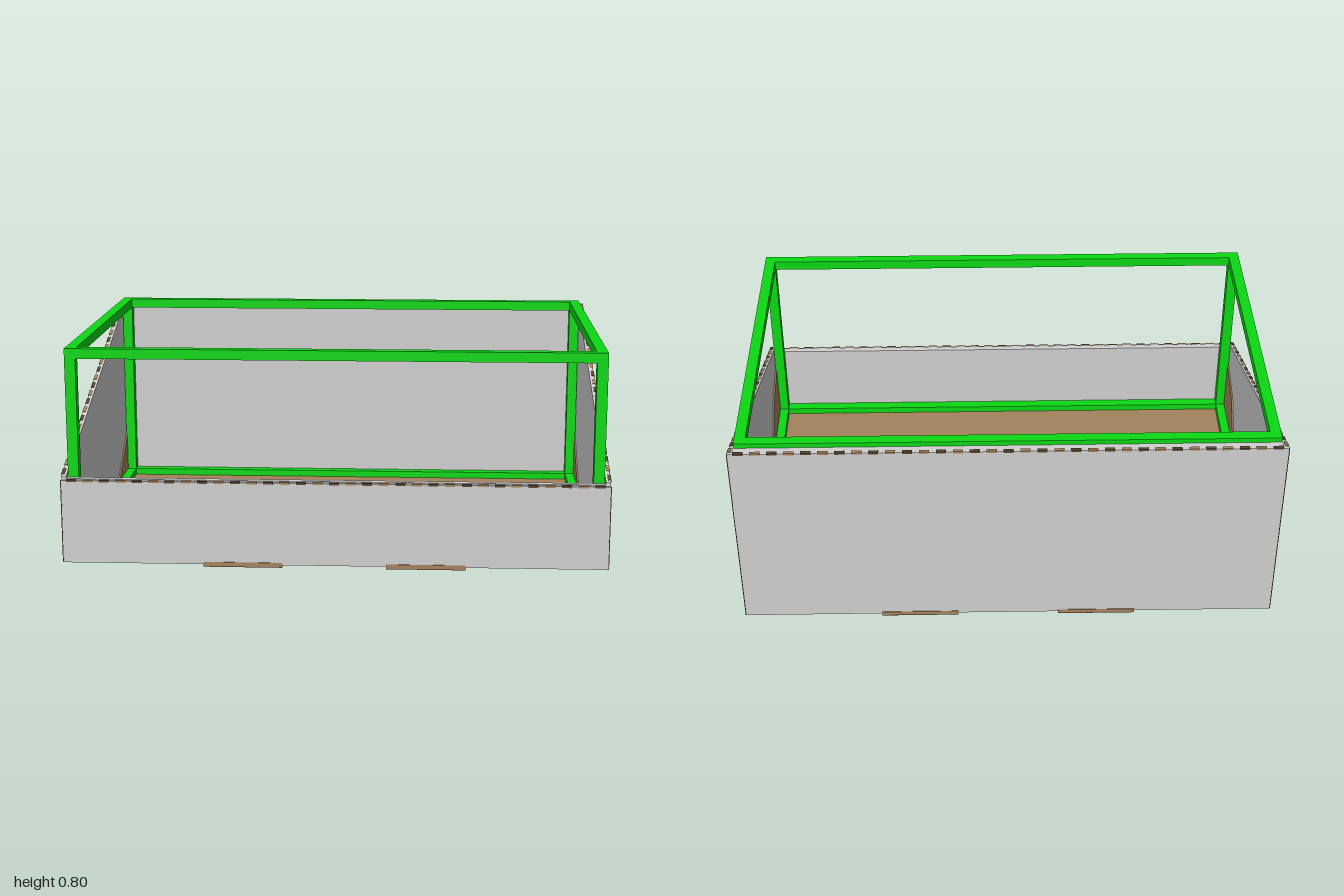
import * as THREE from 'three';

export function createModel() {
  const model = new THREE.Group();
  const mat = (name, color, side = THREE.FrontSide) => {
    const m = new THREE.MeshStandardMaterial({ color, side });
    m.name = name;
    return m;
  };
  const grey = mat('paper grey', 0xd0d0d0);
  const brown = mat('cardboard brown', 0xa5835c, THREE.DoubleSide);
  const dark = mat('fluting dark brown', 0x5c462f);
  const green = mat('frame green', 0x0cd814);

  const add = (name, geometry, material, parent = model) => {
    const mesh = new THREE.Mesh(geometry, material);
    mesh.name = name;
    parent.add(mesh);
    return mesh;
  };
  // Box given by its minimum and maximum corners
  const box = (name, a, b, material, parent) => {
    const mesh = add(name, new THREE.BoxGeometry(b[0] - a[0], b[1] - a[1], b[2] - a[2]), material, parent);
    mesh.position.set((a[0] + b[0]) / 2, (a[1] + b[1]) / 2, (a[2] + b[2]) / 2);
    return mesh;
  };
  // Outline in (z, y), extruded along x between x0 and x1
  const profile = (name, points, x0, x1, material) => {
    const shape = new THREE.Shape(points.map(p => new THREE.Vector2(...p)));
    const g = new THREE.ExtrudeGeometry(shape, { depth: x1 - x0, bevelEnabled: false });
    g.rotateY(-Math.PI / 2);
    g.translate(x1, 0, 0);
    return add(name, g, material);
  };

  // Base and floor
  box('base', [-0.998, 0.01, -0.672], [0.998, 0.016, 0.672], grey);
  box('floor', [-0.98, 0.016, -0.636], [0.98, 0.024, 0.636], brown);

  // Front and back walls: outer board with raw cardboard ends, plus inner lining
  const boardFaces = [brown, brown, grey, grey, grey, grey];
  for (const [name, s, top, lip] of [['front', 1, 0.32, 0.335], ['back', -1, 0.785, 0.785]]) {
    const span = (z0, z1) => [Math.min(s * z0, s * z1), Math.max(s * z0, s * z1)];
    const [o0, o1] = span(0.66, 0.672);
    box(name + 'Wall', [-0.999, 0.012, o0], [0.999, top, o1], boardFaces);
    const [i0, i1] = span(0.636, 0.66);
    box(name + 'Lining', [-0.98, 0.012, i0], [0.98, name === 'front' ? 0.325 : lip, i1], grey);
    // Dark paper edges along the raw board ends
    for (const x of [-1, 1]) for (const z of [0.6605, 0.6715]) {
      const [a, b] = span(z - 0.0015, z + 0.0015);
      box('boardEdge', [x * 0.9985 - 0.0015, 0.012, a], [x * 0.9985 + 0.0015, top, b], dark);
    }
  }

  // Sloping side walls
  const wall = [[0.66, 0.012], [0.66, 0.335], [-0.66, 0.783], [-0.66, 0.012]];
  profile('leftWall', wall, 0.98, 0.998, grey);
  profile('rightWall', wall, -0.998, -0.98, grey);

  // Fluting shown as dashes along the rims
  const fluting = new THREE.Group();
  fluting.name = 'rimFluting';
  model.add(fluting);
  const pitch = 0.06;
  for (let i = 0; i < 33; i++) {
    const x = -0.96 + i * pitch;
    for (const [z, y] of [[0.667, 0.319], [-0.667, 0.784]]) {
      add('flute', new THREE.BoxGeometry(0.036, 0.008, 0.0125), i % 2 ? brown : dark, fluting).position.set(x, y, z);
    }
  }
  const slope = (0.783 - 0.335) / 1.32;
  for (let i = 0; i < 22; i++) {
    const z = 0.63 - i * pitch;
    for (const s of [-1, 1]) {
      const flute = add('flute', new THREE.BoxGeometry(0.012, 0.009, 0.038), i % 2 ? brown : dark, fluting);
      flute.position.set(s * 0.994, 0.335 + (0.66 - z) * slope - 0.003, z);
      flute.rotation.x = Math.atan(slope);
    }
  }

  // Triangular glue flaps inside the side walls
  for (const s of [-1, 1]) {
    const x0 = s > 0 ? 0.974 : -0.98;
    profile('backFlap', [[-0.636, 0.02], [-0.636, 0.23], [-0.34, 0.02]], x0, x0 + 0.006, brown);
    profile('frontFlap', [[0.636, 0.02], [0.25, 0.02], [0.42, 0.2], [0.636, 0.27]], x0, x0 + 0.006, brown);
  }

  // Box frame: posts and rails
  const frame = new THREE.Group();
  frame.name = 'frame';
  model.add(frame);
  const X = 0.978, Z = 0.634, T = 0.04;
  for (const s of [-1, 1]) {
    const xr = s > 0 ? [X - T, X] : [-X, T - X];
    const zr = s > 0 ? [Z - T, Z] : [-Z, T - Z];
    for (const [y0, y1] of [[0.02, 0.05], [0.765, 0.802]]) {
      box('sideRail', [xr[0], y0, -Z], [xr[1], y1, Z], green, frame);
      box('longRail', [T - X, y0, zr[0]], [X - T, y1, zr[1]], green, frame);
    }
    for (const z of [-Z, Z - T]) {
      box('post', [xr[0], 0.05, z], [xr[1], 0.765, z + T], green, frame);
    }
  }

  // Locking tabs and tiny corner feet
  for (const s of [-1, 1]) {
    for (const c of [-0.335, 0.335]) {
      box('bottomTab', [c - 0.145, 0.003, s * 0.66 - 0.014], [c + 0.145, 0.019, s * 0.66 + 0.014], brown);
      box('tabEdge', [c - 0.145, 0.001, s * 0.66 - 0.014], [c + 0.145, 0.004, s * 0.66 + 0.014], dark);
    }
    const x0 = s > 0 ? 0.97 : -1;
    profile('sideTab', [[-0.02, 0.014], [0.32, 0.014], [0.292, 0.044], [0.008, 0.044]], x0, x0 + 0.03, green);
    box('sideTabBase', [x0, 0.001, 0], [x0 + 0.03, 0.014, 0.27], brown);
    for (const z of [-0.635, 0.635]) {
      box('foot', [s * 0.96 - 0.008, 0, z - 0.008], [s * 0.96 + 0.008, 0.012, z + 0.008], dark);
    }
  }
  return model;
}
